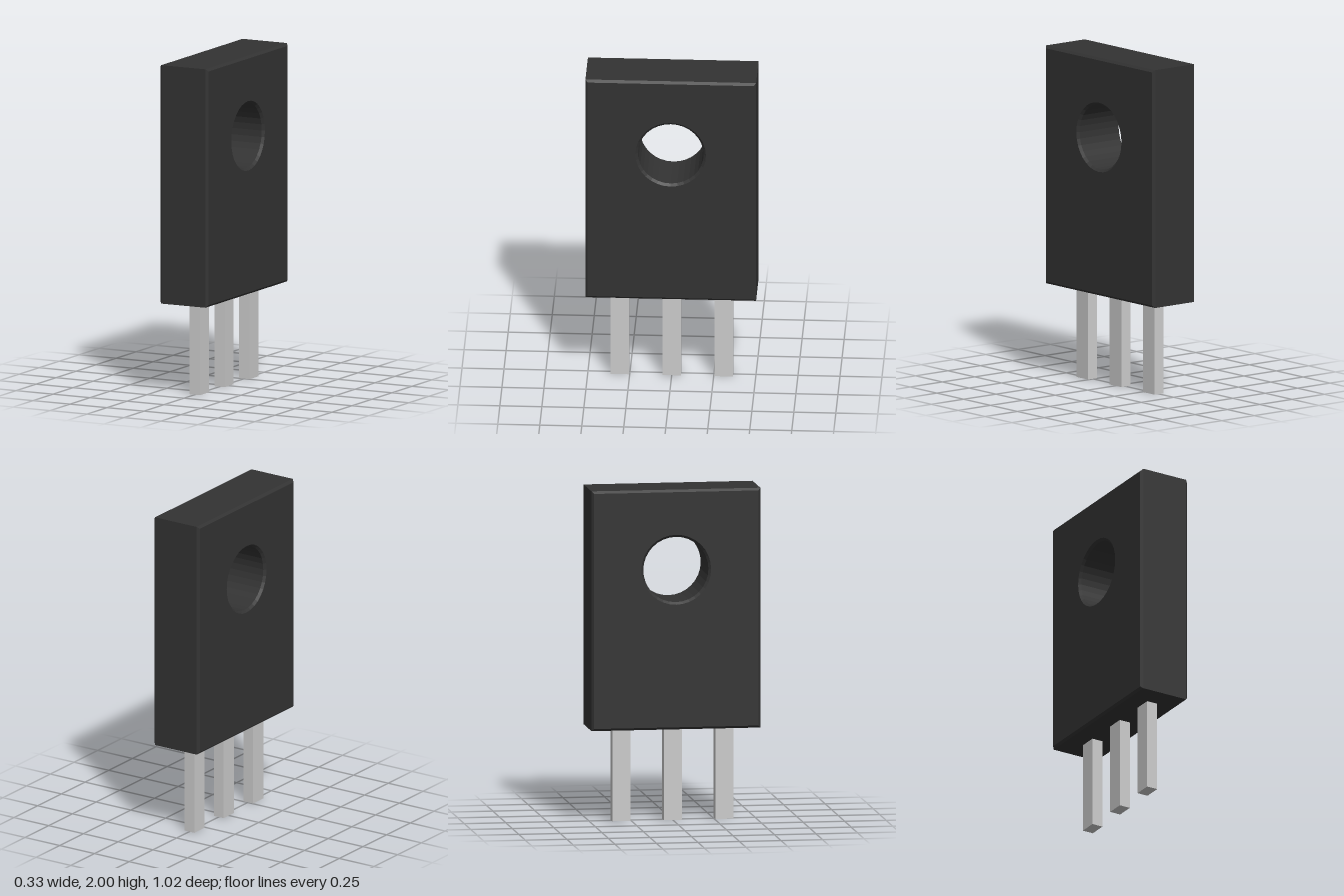
import * as THREE from 'three';

export function createModel() {
  const group = new THREE.Group();
  const plastic = new THREE.MeshStandardMaterial({ color: 0x333333, flatShading: true });
  const metal = new THREE.MeshStandardMaterial({ color: 0xcccccc });

  // Package body: chamfered slab with a mounting hole through its thickness
  const halfWidth = 0.508, bottom = 0.56, top = 2, thickness = 0.326, bevel = 0.014;
  const outline = new THREE.Shape([
    new THREE.Vector2(-halfWidth, bottom),
    new THREE.Vector2(halfWidth, bottom),
    new THREE.Vector2(halfWidth, top),
    new THREE.Vector2(-halfWidth, top),
  ]);
  outline.holes.push(new THREE.Path().absarc(0, 1.52, 0.196, 0, Math.PI * 2, true));
  const bodyGeometry = new THREE.ExtrudeGeometry(outline, {
    depth: thickness - 2 * bevel,
    bevelEnabled: true,
    bevelThickness: bevel,
    bevelSize: bevel,
    bevelOffset: -bevel,
    bevelSegments: 1,
    curveSegments: 16,
  });
  bodyGeometry.translate(0, 0, -(thickness / 2 - bevel));
  bodyGeometry.rotateY(Math.PI / 2);
  const body = new THREE.Mesh(bodyGeometry, plastic);
  body.name = 'body';
  group.add(body);

  // Three straight leads below the body
  const leads = new THREE.Group();
  leads.name = 'leads';
  const leadGeometry = new THREE.BoxGeometry(0.07, bottom, 0.11);
  for (const z of [-0.31, 0, 0.31]) {
    const lead = new THREE.Mesh(leadGeometry, metal);
    lead.name = 'lead';
    lead.position.set(0, bottom / 2, z);
    leads.add(lead);
  }
  group.add(leads);

  return group;
}
